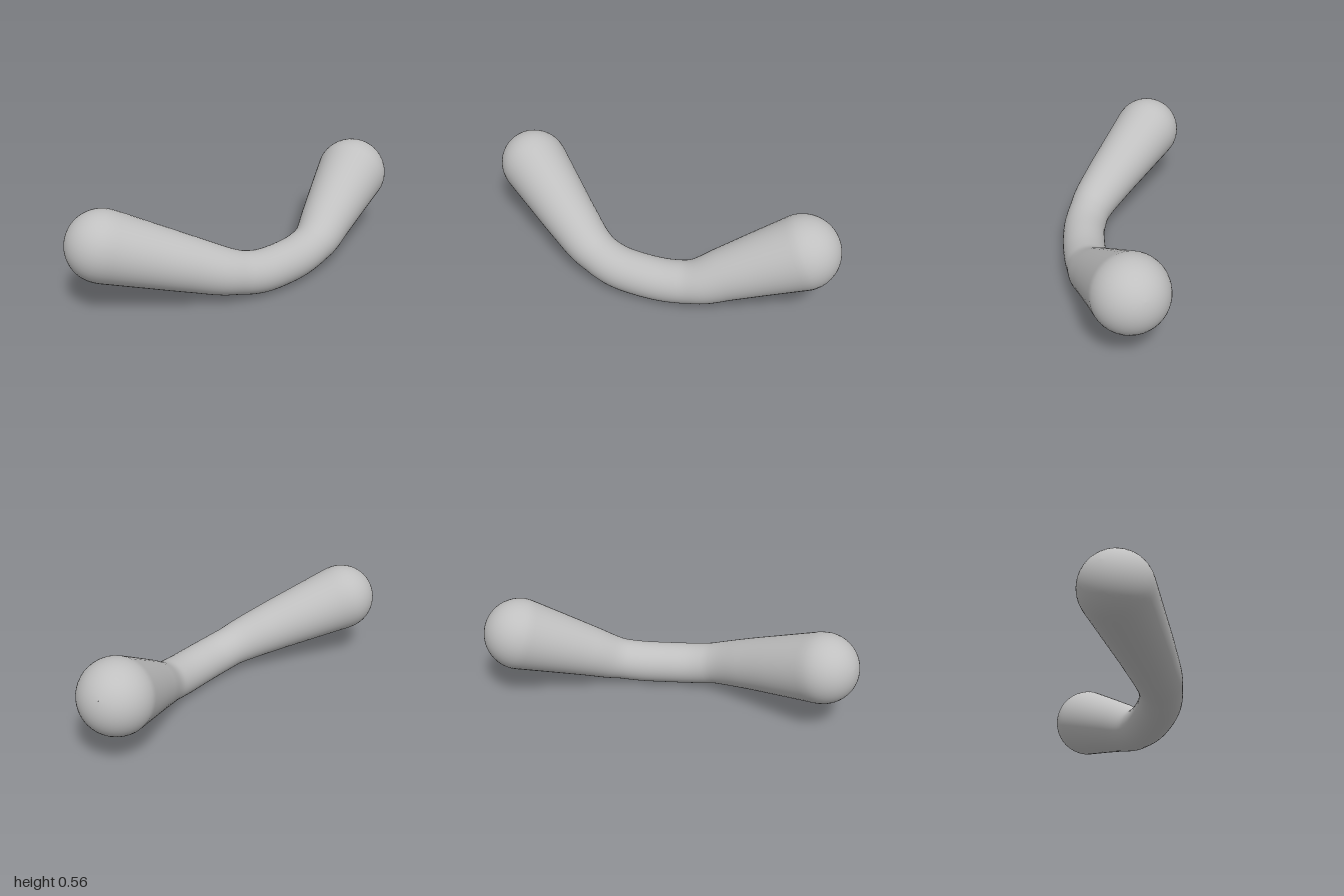
import * as THREE from 'three';

const SIDES = 40, BODY = 72, CAP = 14;

// Sweeps rings of varying radius along a curve and rounds off both ends
function sweepRounded(curve, radiusAt) {
  const frames = curve.computeFrenetFrames(BODY, false);
  const rings = [];
  const addRing = (i, angle, sign) => {
    const c = curve.getPointAt(i / BODY);
    const r = radiusAt(c.x);
    const center = c.clone().addScaledVector(frames.tangents[i], sign * r * Math.sin(angle));
    rings.push({ center, r: Math.max(r * Math.cos(angle), 1e-4), n: frames.normals[i], b: frames.binormals[i] });
  };
  for (let k = CAP; k > 0; k--) addRing(0, (k / CAP) * Math.PI / 2, -1);
  for (let i = 0; i <= BODY; i++) addRing(i, 0, 1);
  for (let k = 1; k <= CAP; k++) addRing(BODY, (k / CAP) * Math.PI / 2, 1);

  const positions = [], index = [];
  rings.forEach(({ center, r, n, b }, i) => {
    for (let j = 0; j < SIDES; j++) {
      const a = (j / SIDES) * Math.PI * 2;
      const p = center.clone().addScaledVector(n, r * Math.cos(a)).addScaledVector(b, r * Math.sin(a));
      positions.push(p.x, p.y, p.z);
      if (i === rings.length - 1) continue;
      const j2 = (j + 1) % SIDES, lo = i * SIDES, hi = lo + SIDES;
      index.push(lo + j, lo + j2, hi + j, lo + j2, hi + j2, hi + j);
    }
  });
  const geometry = new THREE.BufferGeometry();
  geometry.setAttribute('position', new THREE.Float32BufferAttribute(positions, 3));
  geometry.setIndex(index);
  geometry.computeVertexNormals();
  return geometry;
}

export function createModel() {
  const group = new THREE.Group();
  group.name = 'curvedBar';
  const grey = new THREE.MeshStandardMaterial({ color: 0xc0c0c0 });
  grey.name = 'light grey';

  // Centre line: two straight flaring arms joined by a bent middle
  const path = new THREE.CatmullRomCurve3([
    [-0.815, 0.36, -0.19], [-0.64, 0.29, -0.055], [-0.47, 0.222, 0.075],
    [-0.31, 0.16, 0.185], [-0.16, 0.124, 0.24], [0, 0.115, 0.259],
    [0.16, 0.12, 0.26], [0.31, 0.149, 0.245], [0.46, 0.215, 0.202],
    [0.63, 0.29, 0.151], [0.803, 0.365, 0.1],
  ].map((p) => new THREE.Vector3(...p)));

  // Slim middle, widening steadily toward each rounded end
  const radiusAt = (x) => {
    const end = x < 0 ? 0.186 : 0.196;
    const t = THREE.MathUtils.clamp((Math.abs(x) - 0.26) / 0.54, 0, 1);
    return 0.114 + (end - 0.114) * t;
  };

  const bar = new THREE.Mesh(sweepRounded(path, radiusAt), grey);
  bar.name = 'bar';
  group.add(bar);
  return group;
}
